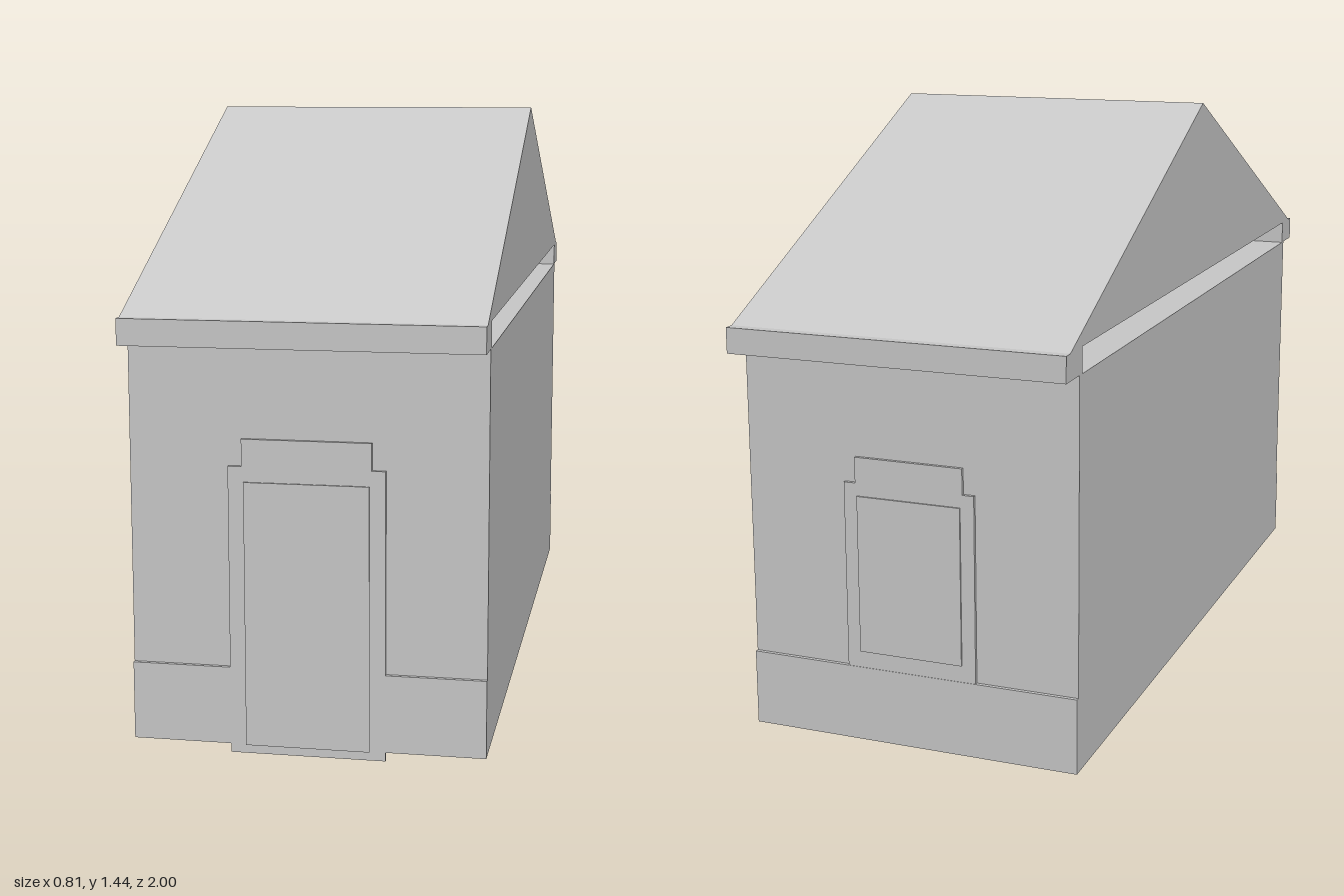
import * as THREE from 'three';

const WIDTH = 0.81;

export function createModel() {
  const model = new THREE.Group();
  model.name = 'gabledHouse';
  const stone = new THREE.MeshStandardMaterial({ color: 0xc8c8c8 });
  stone.name = 'light grey';

  // Box given by its lower and upper y and its z range
  const slab = (name, width, y0, y1, z0, z1) => {
    const mesh = new THREE.Mesh(new THREE.BoxGeometry(width, y1 - y0, Math.abs(z1 - z0)), stone);
    mesh.position.set(0, (y0 + y1) / 2, (z0 + z1) / 2);
    mesh.name = name;
    model.add(mesh);
  };

  // Thin stepped door surround, lying on an end wall
  const surround = (name, half, headHalf, y0, shoulder, top, z, depth) => {
    const shape = new THREE.Shape([
      [-half, y0], [half, y0], [half, shoulder], [headHalf, shoulder],
      [headHalf, top], [-headHalf, top], [-headHalf, shoulder], [-half, shoulder],
    ].map(([x, y]) => new THREE.Vector2(x, y)));
    const geometry = new THREE.ExtrudeGeometry(shape, { depth, bevelEnabled: false });
    const mesh = new THREE.Mesh(geometry, stone);
    mesh.position.z = z;
    mesh.name = name;
    model.add(mesh);
  };

  // Walls, with a slightly projecting plinth at both ends
  slab('walls', WIDTH, 0.02, 0.94, -0.917, 0.917);
  slab('frontPlinth', WIDTH, 0.02, 0.2, 0.915, 0.926);
  slab('backPlinth', WIDTH, 0.02, 0.2, -0.926, -0.915);

  // Front doorway reaches the ground, back doorway stands on the plinth
  surround('frontDoorSurround', 0.178, 0.147, 0, 0.665, 0.727, 0.919, 0.008);
  slab('frontDoor', 0.284, 0.02, 0.63, 0.92, 0.931);
  surround('backDoorSurround', 0.16, 0.132, 0.2, 0.645, 0.706, -0.925, 0.009);
  slab('backDoor', 0.254, 0.24, 0.615, -0.929, -0.916);

  // Eave beams carrying the roof clear of the walls
  slab('frontEave', WIDTH, 0.94, 1, 0.9, 1);
  slab('backEave', WIDTH, 0.94, 1, -1, -0.9);

  // Gable roof, its ridge running across the width
  const gable = new THREE.Shape([
    new THREE.Vector2(-0.975, 1), new THREE.Vector2(0.975, 1), new THREE.Vector2(0, 1.438),
  ]);
  const roof = new THREE.Mesh(
    new THREE.ExtrudeGeometry(gable, { depth: WIDTH, bevelEnabled: false }), stone);
  roof.rotation.y = Math.PI / 2;
  roof.position.x = -WIDTH / 2;
  roof.name = 'roof';
  model.add(roof);

  return model;
}
